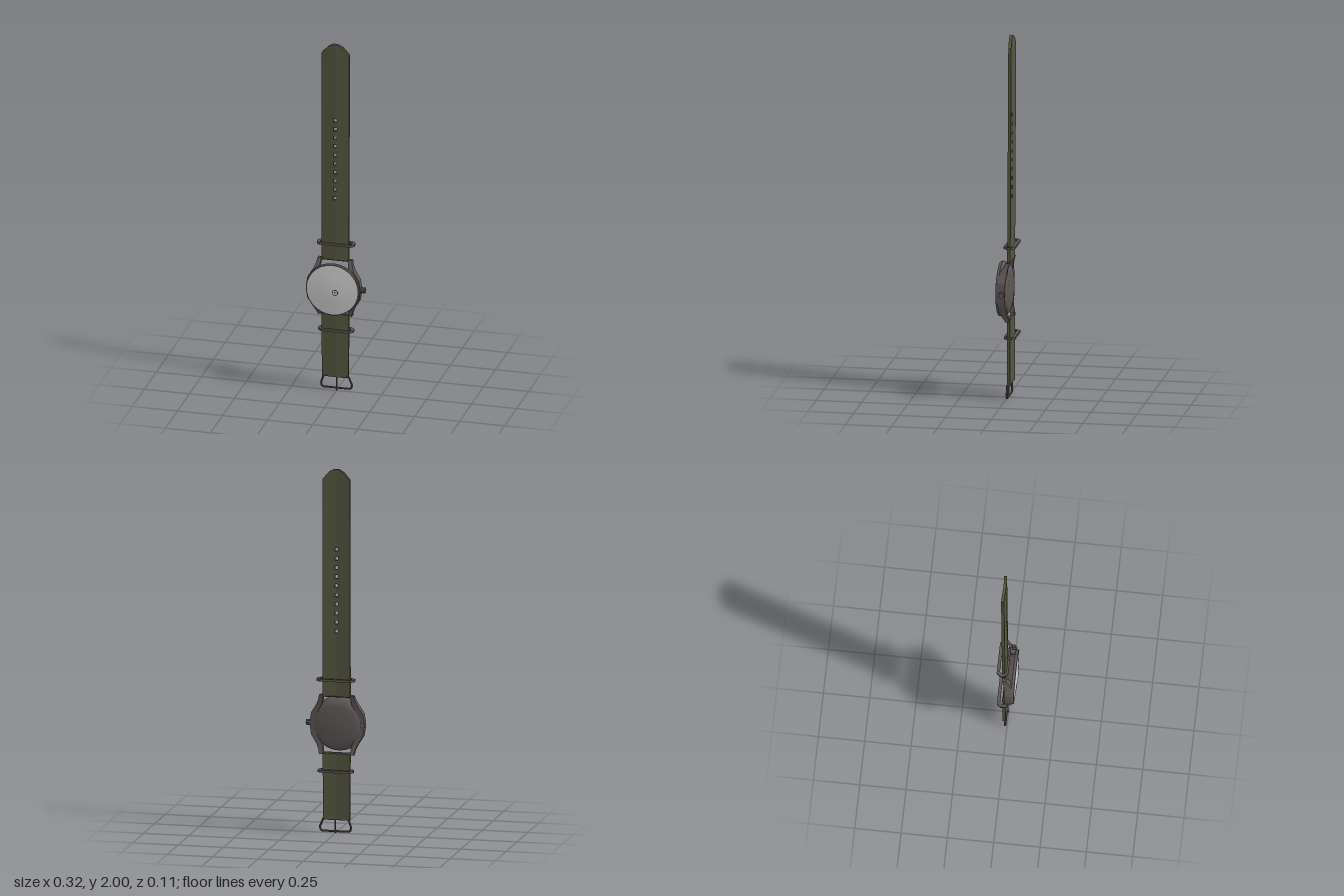
import * as THREE from 'three';
import { toCreasedNormals } from 'three/addons/utils/BufferGeometryUtils.js';

const CX = -0.01; // strap and case centre line
const CY = 0.597; // case centre height

export function createModel() {
  const root = new THREE.Group();
  root.name = 'wristwatch';
  const material = (name, color) => {
    const m = new THREE.MeshStandardMaterial({ color });
    m.name = name;
    return m;
  };
  const green = material('oliveFabric', 0x54563f);
  const metal = material('darkMetal', 0x5c5655);
  const glass = material('paleDial', 0xcbcbcb);
  const dark = material('charcoal', 0x3a3838);

  const add = (name, geometry, mat, x = 0, y = 0, z = 0, crease = 0.5) => {
    const mesh = new THREE.Mesh(toCreasedNormals(geometry, crease), mat);
    mesh.name = name;
    mesh.position.set(x, y, z);
    root.add(mesh);
    return mesh;
  };
  const polygon = (pts, Type = THREE.Shape) => new Type(pts.map(p => new THREE.Vector2(...p)));

  // Round rod between two points
  const rod = (name, a, b, r, mat = metal) => {
    const from = new THREE.Vector3(...a), to = new THREE.Vector3(...b);
    const dir = to.clone().sub(from);
    const g = new THREE.CylinderGeometry(r, r, dir.length() + r * 0.6, 8);
    const mesh = add(name, g, mat, 0, 0, 0, 1);
    mesh.position.copy(from).add(to).multiplyScalar(0.5);
    mesh.quaternion.setFromUnitVectors(new THREE.Vector3(0, 1, 0), dir.normalize());
  };

  // Strap half: flat extrusion sheared back from the centre crease
  const strapHalf = (name, side, pts, lean) => {
    const g = new THREE.ExtrudeGeometry(polygon(pts.map(([x, y]) => [x * side, y])), { depth: 0.016, bevelEnabled: false });
    const p = g.attributes.position;
    for (let i = 0; i < p.count; i++) {
      p.setZ(i, p.getZ(i) - 0.019 - Math.abs(p.getX(i)) * 0.08 - (p.getY(i) - 0.6) * lean);
    }
    g.computeVertexNormals();
    add(name, g, green, CX, 0, 0, 0.05);
  };

  // Long strap with ten square holes, each half carrying half of every hole
  const notches = [];
  for (let i = 0; i < 10; i++) {
    const y = 1.11 + i * 0.05, h = 0.0095;
    notches.push([0, y - h], [h, y - h], [h, y + h], [0, y + h]);
  }
  const longHalf = [[0, 0.757], ...notches, [0, 2], [0.014, 1.999], [0.042, 1.984], [0.076, 1.945], [0.076, 0.757]];
  const shortHalf = [[0, 0.075], [0, 0.437], [0.076, 0.437], [0.073, 0.075]];
  for (const side of [-1, 1]) {
    strapHalf('longStrap', side, longHalf, 0.005);
    strapHalf('shortStrap', side, shortHalf, 0);
  }

  // Turned parts, axis facing forward
  const turned = (name, pts, mat, segments, x, y, z, crease) => {
    const g = new THREE.LatheGeometry(pts.map(p => new THREE.Vector2(...p)), segments);
    g.rotateX(Math.PI / 2);
    return add(name, g, mat, x, y, z, crease);
  };
  turned('caseBody', [[0, -0.018], [0.1, -0.018], [0.124, -0.012], [0.14, 0.005], [0.15, 0.028], [0.147, 0.042], [0.141, 0.0435]],
    metal, 28, CX - 0.002, CY, 0, 0.6);
  turned('dial', [[0.143, 0.0425], [0.07, 0.049], [0, 0.053]], glass, 28, CX - 0.001, CY, 0, 0.6);

  // Small hub on the dial
  turned('hubRing', [[0.017, 0], [0.017, 0.003], [0.013, 0.003], [0.013, 0]], dark, 12, 0.005, 0.587, 0.05);
  turned('hubDisc', [[0.014, 0], [0.014, 0.002], [0, 0.002]], glass, 12, 0.005, 0.587, 0.0505);
  turned('hubPin', [[0.004, 0], [0.004, 0.002], [0, 0.002]], dark, 8, 0.005, 0.587, 0.0515);

  // Case flanks with lugs: stations as [height, outer x, inner x, front z, back z]
  const stations = [
    [0, 0.152, 0.12, 0.03, -0.008],
    [0.06, 0.143, 0.11, 0.032, -0.01],
    [0.11, 0.112, 0.082, 0.027, -0.013],
    [0.14, 0.1, 0.076, 0.01, -0.019],
    [0.163, 0.096, 0.076, -0.004, -0.026],
  ];
  for (const side of [-1, 1]) {
    const g = new THREE.BoxGeometry(1, 8, 1, 1, 8, 1);
    const p = g.attributes.position;
    for (let i = 0; i < p.count; i++) {
      const row = Math.round(p.getY(i));
      const [h, outer, inner, front, back] = stations[Math.abs(row)];
      p.setXYZ(i, side * (p.getX(i) * side > 0 ? outer : inner), Math.sign(row) * h, p.getZ(i) > 0 ? front : back);
    }
    g.computeVertexNormals();
    add('caseLugs', g, metal, CX, CY, 0, 0.3);
  }

  // Spring bars between the lugs
  for (const y of [0.755, 0.439]) rod('springBar', [CX - 0.085, y, -0.013], [CX + 0.085, y, -0.013], 0.008);

  // Crown and stem
  rod('crownStem', [0.12, 0.6, 0.008], [0.145, 0.6, 0.008], 0.009);
  const crown = new THREE.CylinderGeometry(0.016, 0.016, 0.022, 10);
  crown.rotateZ(Math.PI / 2);
  add('crown', crown, metal, 0.152, 0.6, 0.008);

  // Keeper loops: chamfered rings around the strap
  const chamfered = (w, z0, z1, c) => [
    [-w + c, z0], [w - c, z0], [w, z0 + c], [w, z1 - c], [w - c, z1], [-w + c, z1], [-w, z1 - c], [-w, z0 + c]];
  for (const [x, y, w] of [[-0.007, 0.845, 0.104], [-0.007, 0.345, 0.097]]) {
    const ring = polygon(chamfered(w, -0.055, 0.007, 0.018));
    ring.holes.push(polygon(chamfered(w - 0.016, -0.038, -0.003, 0.01), THREE.Path));
    const g = new THREE.ExtrudeGeometry(ring, { depth: 0.013, bevelEnabled: false });
    g.rotateX(Math.PI / 2);
    add('keeperLoop', g, metal, x, y + 0.0065, 0, 0.3);
  }

  // Buckle frame and tongue
  const frame = [[-0.073, 0.078], [-0.088, 0.035], [-0.084, 0.018], [-0.074, 0.012],
    [0.07, 0.012], [0.08, 0.018], [0.084, 0.035], [0.066, 0.078]];
  frame.forEach(([x, y], i) => {
    const [nx, ny] = frame[(i + 1) % frame.length];
    rod('buckleFrame', [x, y, -0.01], [nx, ny, -0.01], 0.0055);
  });
  rod('buckleTongue', [0, 0.08, -0.008], [0, 0.0015, -0.003], 0.0045);

  return root;
}
